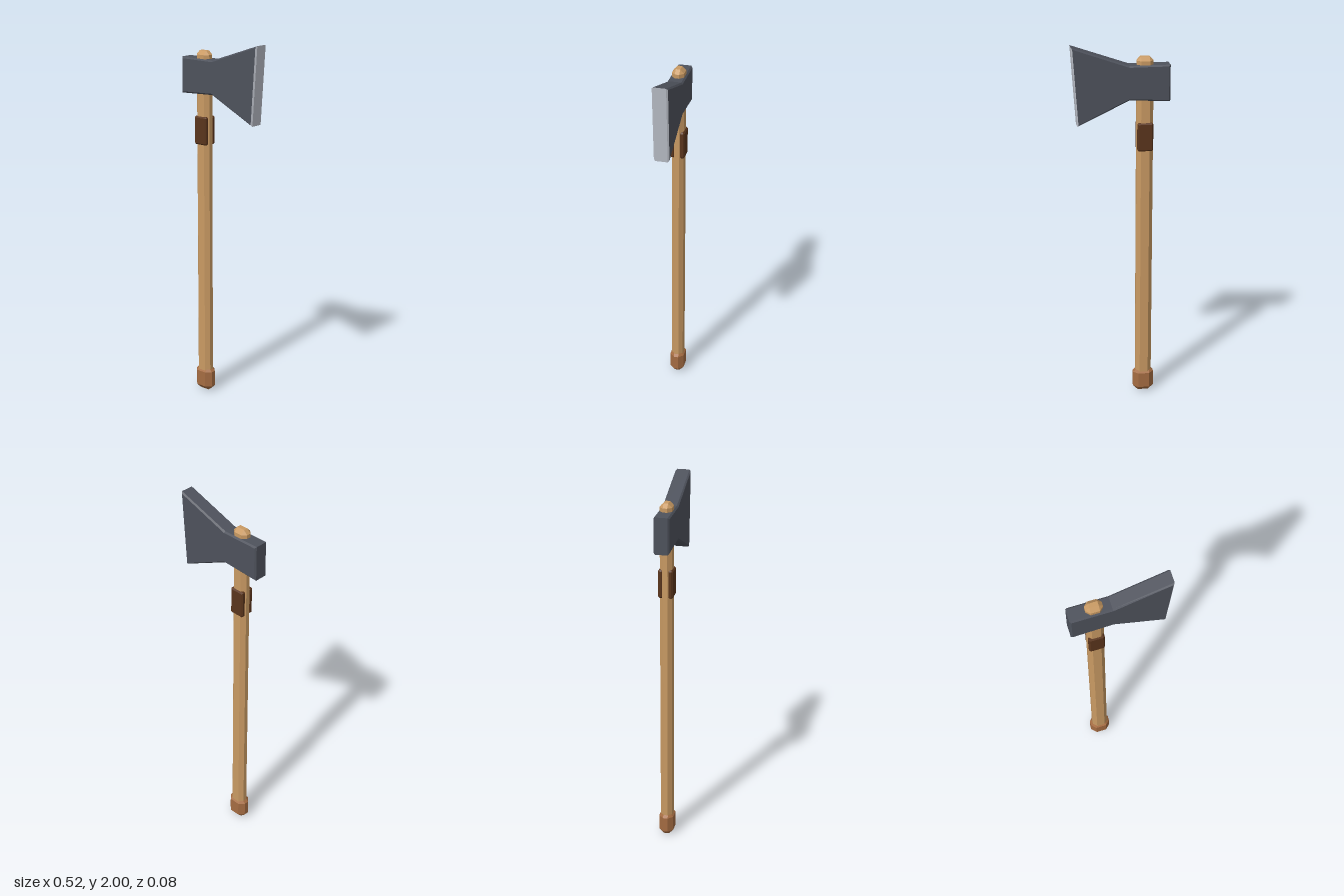
import * as THREE from 'three';
import { ConvexGeometry } from 'three/addons/geometries/ConvexGeometry.js';

const material = (name, color) => {
  const m = new THREE.MeshStandardMaterial({ color });
  m.name = name;
  return m;
};

// Box centred on the origin with all twelve edges chamfered by c.
function chamferBox(w, h, d, c) {
  const half = [w / 2, h / 2, d / 2];
  const points = [];
  for (const sx of [-1, 1]) for (const sy of [-1, 1]) for (const sz of [-1, 1]) {
    const sign = [sx, sy, sz];
    for (let face = 0; face < 3; face++) {
      points.push(new THREE.Vector3(...half.map((v, i) => sign[i] * (i === face ? v : v - c))));
    }
  }
  return new ConvexGeometry(points);
}

// Keeps the triangles whose flat normal passes the test.
function pickFaces(geometry, test) {
  const p = geometry.attributes.position;
  const tri = new THREE.Triangle();
  const n = new THREE.Vector3();
  const kept = [];
  for (let i = 0; i < p.count; i += 3) {
    tri.setFromAttributeAndIndices(p, i, i + 1, i + 2);
    tri.getNormal(n);
    if (test(n)) kept.push(tri.a.clone(), tri.b.clone(), tri.c.clone());
  }
  const out = new THREE.BufferGeometry().setFromPoints(kept);
  out.computeVertexNormals();
  return out;
}

export function createModel() {
  const wood = material('handle wood', 0xc99a63);
  const darkWood = material('pommel wood', 0xa56c42);
  const leather = material('dark leather', 0x5a351c);
  const steel = material('dark steel', 0x4e525c);
  const bright = material('sharpened steel', 0xb9bdc6);

  const axe = new THREE.Group();
  axe.name = 'axe';
  const add = (name, geometry, mat, x = 0, y = 0, z = 0) => {
    const mesh = new THREE.Mesh(geometry, mat);
    mesh.name = name;
    mesh.position.set(x, y, z);
    axe.add(mesh);
  };
  const gripX = -0.13;

  // Handle and the swollen end at its foot
  add('handle', chamferBox(0.088, 1.917, 0.065, 0.021), wood, gripX, 0.9785);
  add('pommel', chamferBox(0.114, 0.14, 0.08, 0.027), darkWood, gripX, 0.07);

  // Leather pads below the head, front and back
  for (const side of [1, -1]) {
    add(side > 0 ? 'frontPad' : 'backPad', chamferBox(0.084, 0.155, 0.028, 0.008),
      leather, gripX, 1.508, side * 0.026);
  }

  // Bevelled head: poll on the right, flaring to the blade on the left
  const bevel = 0.008, thickness = 0.082;
  const outline = new THREE.Shape([
    [-0.26, 1.7], [-0.045, 1.712], [0.231, 1.58], [0.26, 2], [-0.045, 1.895], [-0.26, 1.895],
  ].map(([x, y]) => new THREE.Vector2(x, y)));
  const head = new THREE.ExtrudeGeometry(outline, {
    depth: thickness - 2 * bevel, bevelThickness: bevel, bevelSize: bevel,
    bevelOffset: -bevel, bevelSegments: 1,
  });
  head.translate(0, 0, bevel - thickness / 2);
  add('axeHead', pickFaces(head, (n) => n.x <= 0.4), steel);
  add('cuttingEdge', pickFaces(head, (n) => n.x > 0.4), bright);

  return axe;
}
